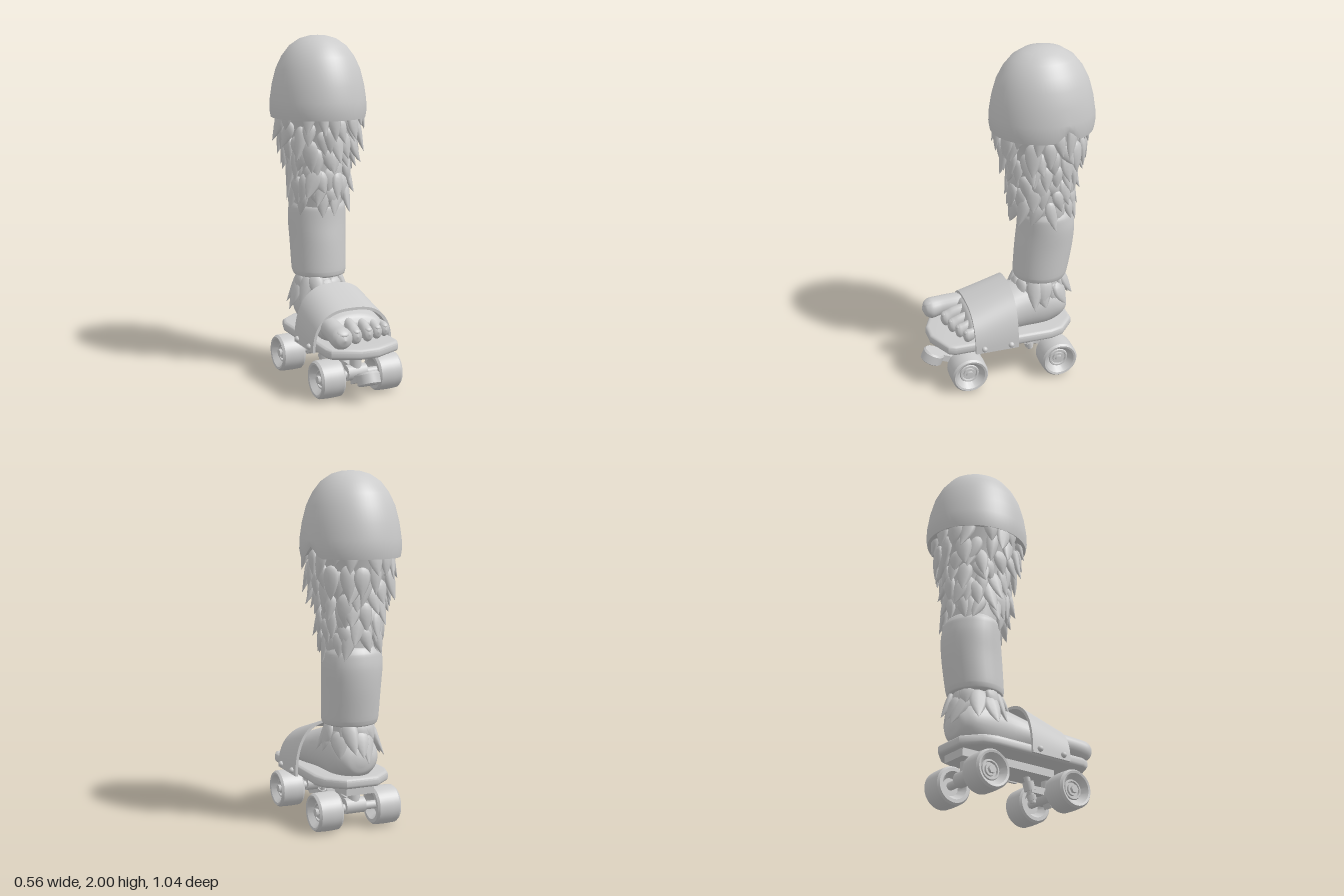
import * as THREE from 'three';
import { mergeGeometries, mergeVertices, toCreasedNormals } from 'three/addons/utils/BufferGeometryUtils.js';

const material = new THREE.MeshStandardMaterial({ color: 0xcccccc, side: THREE.DoubleSide });
let seed = 7;
const rand = (a, b) => {
  seed = (seed * 16807) % 2147483647;
  return a + (b - a) * seed / 2147483647;
};

function add(parent, name, geometry, x = 0, y = 0, z = 0) {
  const mesh = new THREE.Mesh(geometry, material);
  mesh.name = name;
  mesh.position.set(x, y, z);
  parent.add(mesh);
  return mesh;
}

// Move each vertex by a rule, then rebuild welded smooth normals
function deform(geometry, rule) {
  const p = geometry.attributes.position, v = new THREE.Vector3();
  for (let i = 0; i < p.count; i++) {
    rule(v.fromBufferAttribute(p, i));
    p.setXYZ(i, v.x, v.y, v.z);
  }
  geometry.deleteAttribute('uv');
  geometry.deleteAttribute('normal');
  const welded = mergeVertices(geometry, 1e-5);
  welded.computeVertexNormals();
  return welded;
}

// Smooth body through elliptical sections [x, y, z, radiusA, radiusB], along y or z
function loft(sections, axis = 'y', sides = 32, rows = 30) {
  const alongZ = axis === 'z';
  const centres = new THREE.CatmullRomCurve3(sections.map(([x, y, z]) =>
    alongZ ? new THREE.Vector3(x, z, -y) : new THREE.Vector3(x, y, z)));
  const radii = new THREE.CatmullRomCurve3(sections.map(s => new THREE.Vector3(s[3], s[4], 0)));
  const g = new THREE.CylinderGeometry(1, 1, 1, sides, rows);
  const body = deform(g, v => {
    const t = THREE.MathUtils.clamp(v.y + 0.5, 0, 1);
    const c = centres.getPoint(t), r = radii.getPoint(t);
    v.set(c.x + v.x * r.x, c.y, c.z + v.z * r.y);
  });
  return alongZ ? body.rotateX(Math.PI / 2) : body;
}

const lathe = (points, sides = 40, crease = 0.6) => toCreasedNormals(
  new THREE.LatheGeometry(points.map(p => new THREE.Vector2(...p)), sides), crease);

// Pointed leaf-shaped lock of fur, hanging from a ring around the leg
function tuft(length, width, curl, tilt, angle, radius, y, cz) {
  const sweep = rand(-0.025, 0.025);
  const g = deform(new THREE.SphereGeometry(1, 8, 9), v => {
    const t = (1 - v.y) / 2, r = Math.hypot(v.x, v.z) || 1;
    const f = 2.6 * Math.sqrt(t) * (1 - t);
    v.set(v.x / r * width * f + sweep * t * t, -length * t, v.z / r * 0.022 * f + curl * t * t);
  });
  g.rotateZ(rand(-0.25, 0.25)).rotateX(-tilt).rotateY(angle);
  return g.translate(Math.sin(angle) * radius, y, cz + Math.cos(angle) * radius * 1.08);
}

function ringOfFur(list, count, y, radius, length, width, tilt, cz, offset) {
  for (let i = 0; i < count; i++) {
    const angle = (i + offset + rand(-0.25, 0.25)) / count * Math.PI * 2;
    list.push(tuft(length * rand(0.8, 1.2), width * rand(0.85, 1.15), rand(0, 0.04),
      tilt, angle, radius + rand(-0.008, 0.012), y + rand(-0.035, 0.035), cz));
  }
}

function buildLeg(root) {
  // Domed cap with a small notch in the rim on the left side
  const dome = new THREE.LatheGeometry([[0.2, 1.56], [0.255, 1.54], [0.272, 1.53], [0.279, 1.57], [0.277, 1.63],
    [0.264, 1.72], [0.241, 1.81], [0.208, 1.88], [0.163, 1.94], [0.105, 1.98], [0.05, 1.996], [0, 2]]
    .map(p => new THREE.Vector2(...p)), 60);
  const notched = deform(dome, v => {
    const off = Math.abs(Math.atan2(v.z + 0.06, v.x));
    if (v.y < 1.6) v.y += Math.max(0, 1 - off / 0.25) * (v.y < 1.56 ? 0.065 : 0.045);
  });
  add(root, 'kneeCap', toCreasedNormals(notched, 0.9), 0, 0, -0.22).scale.z = 1.08;
  add(root, 'upperLeg', loft([[0, 0.98, -0.24, 0.15, 0.14], [0, 1.15, -0.22, 0.155, 0.165],
    [0, 1.3, -0.215, 0.163, 0.175], [0, 1.45, -0.22, 0.192, 0.21], [0, 1.6, -0.22, 0.23, 0.25]]));
  add(root, 'shin', loft([[0.003, 0.59, -0.217, 0.13, 0.13], [0.003, 0.6, -0.217, 0.154, 0.154],
    [0.003, 0.63, -0.22, 0.162, 0.162], [0.004, 0.8, -0.24, 0.166, 0.171], [0.004, 0.92, -0.25, 0.172, 0.168],
    [0.004, 1.0, -0.247, 0.17, 0.16], [0.004, 1.04, -0.245, 0.15, 0.14]]));

  // Overlapping rows of fur above the shin
  const fur = [];
  [[1.6, 0.232], [1.52, 0.217], [1.44, 0.194], [1.36, 0.171], [1.28, 0.163], [1.21, 0.162], [1.15, 0.155]]
    .forEach(([y, r], i) => ringOfFur(fur, 16, y, r, 0.165, 0.043, 0.01, -0.218, (i % 2) / 2));
  add(root, 'legFur', mergeGeometries(fur));

  const ankleFur = [];
  ringOfFur(ankleFur, 12, 0.595, 0.118, 0.19, 0.048, 0.24, -0.215, 0);
  ringOfFur(ankleFur, 11, 0.59, 0.113, 0.14, 0.045, 0.14, -0.215, 0.5);
  add(root, 'ankleFur', mergeGeometries(ankleFur));
}

function buildFoot(root) {
  const foot = new THREE.Group();
  foot.name = 'foot';
  root.add(foot);
  add(foot, 'ankle', loft([[0, 0.36, -0.22, 0.13, 0.13], [0, 0.5, -0.215, 0.125, 0.135], [0, 0.63, -0.215, 0.12, 0.12]]));
  const sole = loft([[0, 0.4, -0.378, 0.02, 0.02], [0, 0.4, -0.365, 0.08, 0.07], [0, 0.41, -0.31, 0.13, 0.12],
    [0, 0.41, -0.2, 0.15, 0.16], [0, 0.4, -0.05, 0.155, 0.15], [0, 0.38, 0.1, 0.185, 0.125],
    [0, 0.37, 0.2, 0.2, 0.1], [0, 0.365, 0.25, 0.19, 0.08], [0, 0.36, 0.275, 0.16, 0.04]], 'z');
  add(foot, 'footBody', deform(sole, v => { v.y = Math.max(v.y, 0.3); }));

  // Toes sloping down from the foot: [x, tip z, half width, half height]
  [[-0.15, 0.47, 0.063, 0.062], [-0.033, 0.387, 0.036, 0.047], [0.05, 0.367, 0.033, 0.045],
    [0.12, 0.34, 0.031, 0.043], [0.183, 0.31, 0.029, 0.04]].forEach(([x, tip, w, h], i) => {
    const y = 0.312 + h, inner = x * 0.93, rise = i === 0 ? 0.015 : 0.035 - Math.max(0, x) * 0.12;
    add(foot, 'toe' + (i + 1), loft([[inner, y + rise * 0.4, 0.17, w * 0.6, h * 0.5],
      [inner, y + rise, 0.235, w * 0.95, h * 0.95],
      [x, y + rise * 0.6, tip - w * 1.9, w * 0.95, h * 0.92], [x, y, tip - w * 0.9, w * 1.02, h],
      [x, y, tip - w * 0.3, w * 0.75, h * 0.72], [x, y, tip, w * 0.05, h * 0.05]], 'z', 20, 22));
    const nail = add(foot, 'toenail' + (i + 1), new THREE.SphereGeometry(1, 14, 8), x, y + h * 0.62, tip - w * 0.6);
    nail.scale.set(w * 0.62, h * 0.25, w * 0.55);
    nail.rotation.x = 0.5;
  });
}

function buildBoard(root) {
  // Board with chamfered nose and tail
  const half = [[0.05, 0.455], [0.19, 0.39], [0.203, 0.36], [0.203, -0.22], [0.18, -0.29], [0.09, -0.368]];
  const outline = [...half, ...half.map(([x, z]) => [-x, z]).reverse()].map(p => new THREE.Vector2(...p));
  const deck = new THREE.ExtrudeGeometry(new THREE.Shape(outline),
    { depth: 0.02, bevelThickness: 0.02, bevelSize: 0.022, bevelSegments: 4 });
  add(root, 'deck', toCreasedNormals(deck.rotateX(Math.PI / 2), 0.6), 0, 0.292, 0);
  add(root, 'basePlate', new THREE.BoxGeometry(0.17, 0.045, 0.62), 0, 0.23, -0.045);

  // Arched strap, lower towards the toes
  const strap = deform(new THREE.BoxGeometry(1, 1, 1, 36, 1, 6), v => {
    const a = (0.5 - v.x) * Math.PI, z = 0.12 + v.z * 0.26, thick = v.y * 0.016;
    const top = 0.57 - (z + 0.01) * 0.33;
    const c = Math.cos(a), s = Math.max(Math.sin(a), 0);
    v.set((0.24 + thick) * Math.sign(c) * Math.abs(c) ** 0.75, 0.255 + (top - 0.255 + thick) * s ** 0.85, z);
  });
  add(root, 'strap', toCreasedNormals(strap, 0.7));
  for (const side of [-1, 1]) for (const z of [0.037, 0.2])
    add(root, 'strapRivet', new THREE.SphereGeometry(0.017, 14, 10), side * 0.25, 0.282, z);
}

function buildTruck(root, name, z, dir) {
  const truck = new THREE.Group();
  truck.name = name;
  truck.position.z = z;
  root.add(truck);
  add(truck, 'axle', new THREE.CylinderGeometry(0.024, 0.024, 0.4, 16).rotateZ(Math.PI / 2), 0, 0.115, 0);
  add(truck, 'hanger', new THREE.CylinderGeometry(0.045, 0.045, 0.12, 16).rotateZ(Math.PI / 2), 0, 0.125, 0);
  add(truck, 'mount', new THREE.CylinderGeometry(0.035, 0.035, 0.1, 16), 0, 0.18, 0);

  // Slanted pivot pin with cushion and nut
  const pin = new THREE.Group();
  pin.name = 'pivotPin';
  pin.position.set(0, 0.14, -dir * 0.125);
  pin.rotation.x = -dir * 0.3;
  truck.add(pin);
  add(pin, 'pinShaft', new THREE.CylinderGeometry(0.018, 0.018, 0.15, 14));
  add(pin, 'cushion', new THREE.CylinderGeometry(0.032, 0.032, 0.05, 18), 0, 0.02, 0);
  add(pin, 'pinNut', new THREE.CylinderGeometry(0.027, 0.027, 0.03, 6), 0, -0.045, 0);
  add(truck, 'yoke', new THREE.BoxGeometry(0.05, 0.04, 0.13), 0, 0.14, -dir * 0.065);

  for (const side of [-1, 1]) {
    const wheel = new THREE.Group();
    wheel.name = side > 0 ? 'leftWheel' : 'rightWheel';
    wheel.position.set(side * 0.179, 0.11, 0);
    wheel.rotation.z = -side * Math.PI / 2;
    truck.add(wheel);
    add(wheel, 'tyre', lathe([[0, -0.03], [0.05, -0.03], [0.078, -0.074], [0.098, -0.074], [0.108, -0.062],
      [0.11, -0.02], [0.11, 0.02], [0.108, 0.06], [0.098, 0.073], [0.086, 0.07], [0.058, 0.035],
      [0.054, 0.042], [0.046, 0.042], [0.043, 0.03], [0, 0.03]], 40, 0.45));
    add(wheel, 'bearing', new THREE.CylinderGeometry(0.034, 0.034, 0.03, 20), 0, 0.028, 0);
    add(wheel, 'axleNut', new THREE.CylinderGeometry(0.023, 0.023, 0.03, 6), 0, 0.045, 0);
  }
}

export function createModel() {
  const root = new THREE.Group();
  root.name = 'skatingLeg';
  buildLeg(root);
  buildFoot(root);
  buildBoard(root);
  buildTruck(root, 'frontTruck', 0.285, 1);
  buildTruck(root, 'rearTruck', -0.27, -1);

  // Toe stop tilted under the nose, held by an arm from the truck
  const stop = new THREE.Group();
  stop.name = 'toeStop';
  stop.position.set(0, 0.132, 0.45);
  stop.rotation.x = -0.42;
  root.add(stop);
  add(stop, 'stopPad', lathe([[0, -0.036], [0.055, -0.036], [0.066, -0.028], [0.066, 0.025], [0.058, 0.036], [0, 0.036]], 28));
  add(stop, 'stopArm', new THREE.BoxGeometry(0.06, 0.04, 0.16), 0, 0.015, -0.1);
  return root;
}
